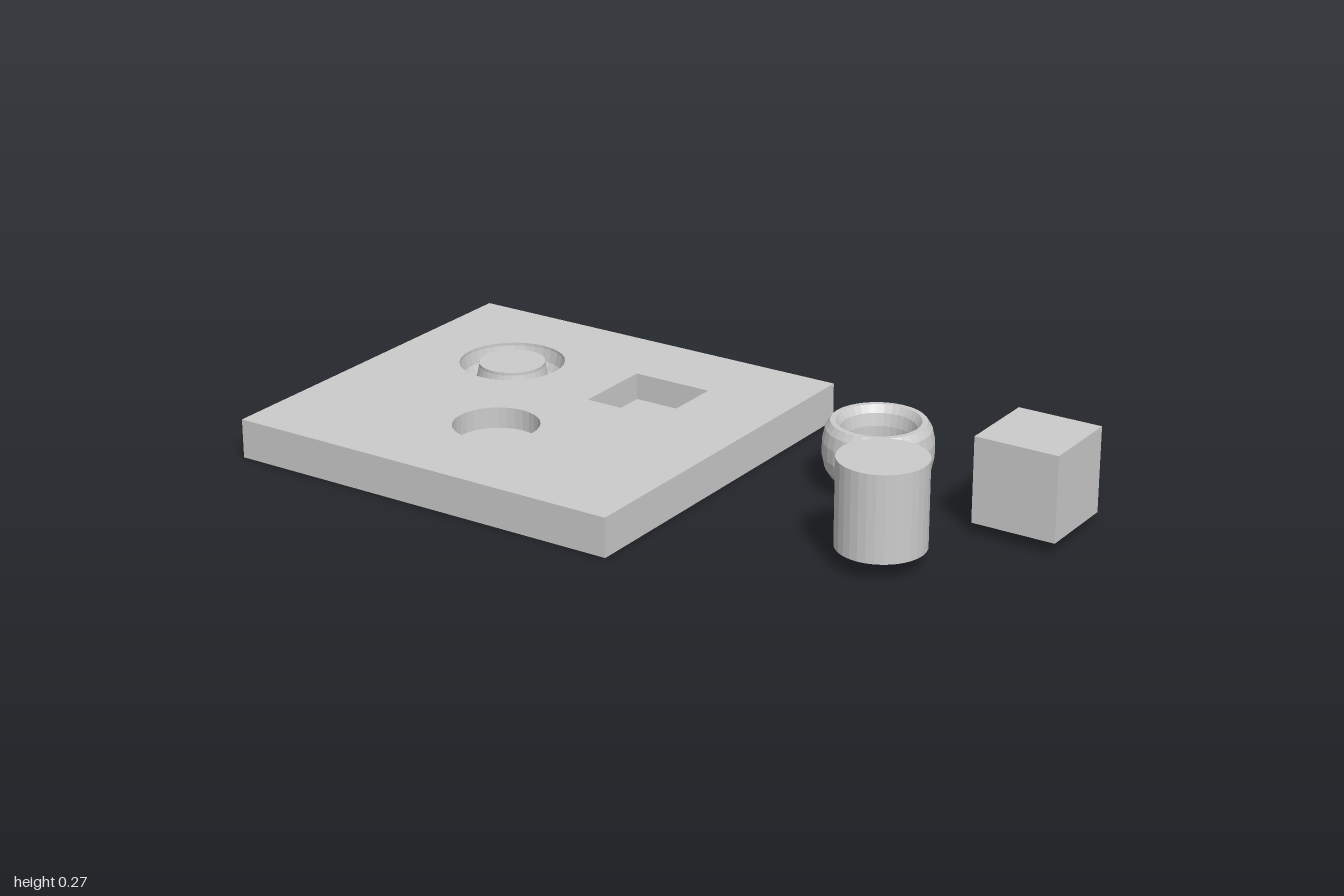
import * as THREE from 'three';

const SEG = 32;
const SLAB = { x0: -1, x1: 0.121, z: 0.522, h: 0.104 };
const SHIFT = 1.124; // distance from each pocket to its loose piece
const CUBE = { x: -0.236, z: -0.186, size: 0.224, y: 0.032 };
const PEG = { x: -0.445, z: 0.19, r: 0.112, y0: 0.048, y1: 0.273 };
const RING = { x: -0.676, z: -0.191, r: 0.114, a: 0.027, b: 0.0725, y: 0.115 };

const material = (side = THREE.FrontSide) =>
  new THREE.MeshStandardMaterial({ color: 0xcccccc, flatShading: true, side });

function add(group, name, geometry, x = 0, y = 0, z = 0, side) {
  const mesh = new THREE.Mesh(geometry, material(side));
  mesh.name = name;
  mesh.position.set(x, y, z);
  group.add(mesh);
  return mesh;
}

// Box without its top face
function openBox(w, h, d) {
  const g = new THREE.BoxGeometry(w, h, d);
  const index = Array.from(g.index.array);
  index.splice(12, 6);
  g.setIndex(index);
  g.clearGroups();
  return g;
}

const lathe = (points) => new THREE.LatheGeometry(points, SEG);
const v = (x, y) => new THREE.Vector2(x, y);

// Point on the twelve-sided oval section of the ring
function ringPoint(i) {
  const t = ((i + 0.5) * Math.PI) / 6;
  return v(RING.r + RING.a * Math.cos(t), RING.y + RING.b * Math.sin(t));
}

// Outlines on the slab top; shape y is -z
function outline(cx, cz, points) {
  return points.map(([px, pz]) => v(cx + px, -(cz + pz)));
}
function circle(cx, cz, r) {
  const pts = [];
  for (let i = 0; i < SEG; i++) {
    const t = (i / SEG) * Math.PI * 2;
    pts.push([r * Math.sin(t), r * Math.cos(t)]);
  }
  return outline(cx, cz, pts);
}
function rect(cx, cz, w, d) {
  return outline(cx, cz, [[-w / 2, d / 2], [w / 2, d / 2], [w / 2, -d / 2], [-w / 2, -d / 2]]);
}

function createBoard() {
  const board = new THREE.Group();
  board.name = 'board';
  const { x0, x1, z, h } = SLAB;
  const cx = (x0 + x1) / 2;
  const rimRadius = ringPoint(0).x;
  const postRadius = ringPoint(6).x;

  add(board, 'boardSides', openBox(x1 - x0, h, z * 2), cx, h / 2, 0);

  // Top face with the three openings
  const top = new THREE.Shape(rect(cx, 0, x1 - x0, z * 2));
  top.holes.push(
    new THREE.Path(rect(CUBE.x, CUBE.z, CUBE.size, CUBE.size)),
    new THREE.Path(circle(PEG.x, PEG.z, PEG.r)),
    new THREE.Path(circle(RING.x, RING.z, rimRadius)),
  );
  add(board, 'boardTop', new THREE.ShapeGeometry(top).rotateX(-Math.PI / 2), 0, h, 0);

  // Square pocket, seen from inside
  const depth = h - CUBE.y;
  add(board, 'squarePocket', openBox(CUBE.size, depth, CUBE.size),
    CUBE.x, CUBE.y + depth / 2, CUBE.z, THREE.BackSide);

  // Round pocket
  add(board, 'roundPocket', lathe([v(PEG.r, h), v(PEG.r, PEG.y0), v(0, PEG.y0)]), PEG.x, 0, PEG.z);

  // Ring groove around a central post
  const groove = [v(rimRadius, h)];
  for (let i = 11; i >= 6; i--) groove.push(ringPoint(i));
  groove.push(v(postRadius, h), v(0, h));
  add(board, 'ringPocket', lathe(groove), RING.x, 0, RING.z);
  return board;
}

export function createModel() {
  const model = new THREE.Group();
  model.name = 'shapeSorter';
  model.add(createBoard());

  // Loose pieces beside the board
  add(model, 'cube', new THREE.BoxGeometry(CUBE.size, CUBE.size, CUBE.size),
    CUBE.x + SHIFT, CUBE.y + CUBE.size / 2, CUBE.z);
  add(model, 'cylinder', new THREE.CylinderGeometry(PEG.r, PEG.r, PEG.y1 - PEG.y0, SEG),
    PEG.x + SHIFT, (PEG.y0 + PEG.y1) / 2, PEG.z);
  const section = [];
  for (let i = 0; i <= 12; i++) section.push(ringPoint(i));
  add(model, 'ring', lathe(section), RING.x + SHIFT, 0, RING.z);
  return model;
}
